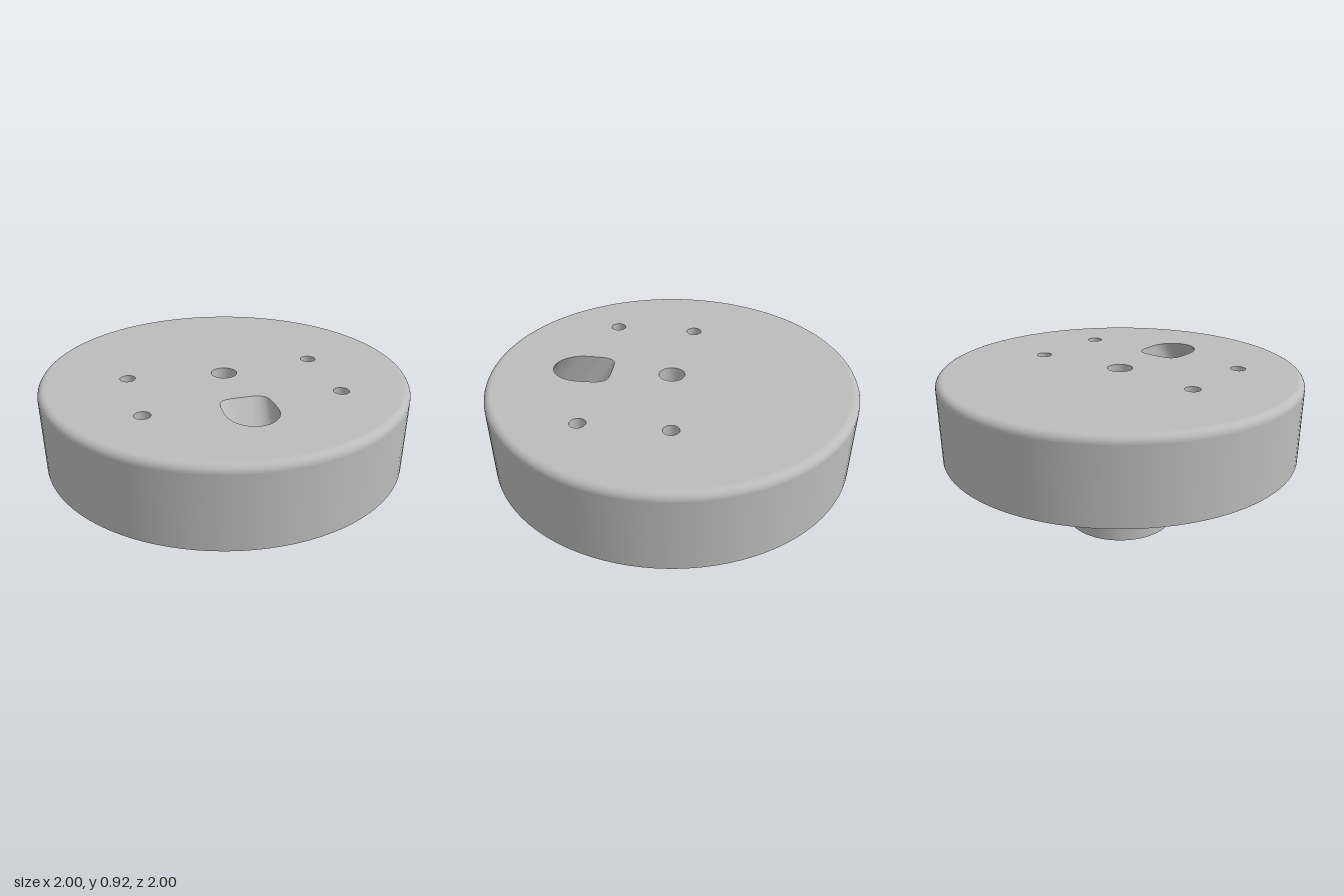
import * as THREE from 'three';
import { mergeGeometries } from 'three/addons/utils/BufferGeometryUtils.js';

const TOP = 0.92, CEILING = 0.665, RIM = 0.475, COLLAR = 0.61;
const BORE = 0.07;

const grey = new THREE.MeshStandardMaterial({ color: 0xbcbcbc, side: THREE.DoubleSide });
grey.name = 'plain grey';

// Points [x, z] of a circle
function circle(r, cx = 0, cz = 0, n = 32) {
  return Array.from({ length: n }, (_, i) => {
    const a = (i / n) * Math.PI * 2;
    return [cx + r * Math.cos(a), cz + r * Math.sin(a)];
  });
}

// Opening of the slanted channel: each end is round (power 1) or squarish (lower power)
function channelRing(zMid, front, back, frontPower, backPower, n = 48) {
  return Array.from({ length: n }, (_, i) => {
    const a = (i / n) * Math.PI * 2, c = Math.cos(a), s = Math.sin(a);
    const p = s >= 0 ? frontPower : backPower;
    const reach = s >= 0 ? front : back;
    return [0.135 * Math.sign(c) * Math.abs(c) ** p, zMid + reach * Math.sign(s) * Math.abs(s) ** p];
  });
}

// Flat horizontal face with holes, facing up or down
function face(y, outline, holes, up) {
  const toPoints = (ring) => ring.map(([x, z]) => new THREE.Vector2(x, up ? -z : z));
  const shape = new THREE.Shape(toPoints(outline));
  shape.holes = holes.map((h) => new THREE.Path(toPoints(h)));
  return new THREE.ShapeGeometry(shape).rotateX(up ? -Math.PI / 2 : Math.PI / 2).translate(0, y, 0);
}

// Inward-facing wall between a lower and an upper ring
function wall(lower, yLow, upper, yHigh) {
  const n = lower.length, pos = [], index = [];
  for (let i = 0; i <= n; i++) {
    const a = lower[i % n], b = upper[i % n];
    pos.push(a[0], yLow, a[1], b[0], yHigh, b[1]);
    if (i < n) {
      const k = i * 2;
      index.push(k, k + 2, k + 1, k + 1, k + 2, k + 3);
    }
  }
  const g = new THREE.BufferGeometry();
  g.setAttribute('position', new THREE.Float32BufferAttribute(pos, 3));
  g.setIndex(index);
  g.computeVertexNormals();
  return g;
}

// Several turned profiles, with sharp edges between them
function turned(...profiles) {
  return mergeGeometries(profiles.map((p) =>
    new THREE.LatheGeometry(p.map(([r, y]) => new THREE.Vector2(r, y)), 96)));
}

export function createModel() {
  const model = new THREE.Group();
  const add = (name, geometry) => {
    const mesh = new THREE.Mesh(geometry, grey);
    mesh.name = name;
    model.add(mesh);
  };

  const bore = circle(BORE);
  const channelTop = channelRing(0.5, 0.155, 0.17, 1, 0.45);
  const channelBottom = channelRing(0.66, 0.18, 0.155, 0.5, 1);
  const screwSpots = [[-0.52, -0.065], [0.52, -0.065], [-0.52, 0.395], [0.52, 0.395]];
  const screwRings = screwSpots.map(([x, z]) => circle(0.042, x, z));
  const pinRings = [[-0.105, 0.115], [0.105, -0.115]].map(([x, z]) => circle(0.038, x, z));

  // Drum: rounded upper edge, outer side, thin lip and recess wall
  const fillet = Array.from({ length: 9 }, (_, i) => {
    const a = (i / 8) * Math.PI / 2;
    return [0.96 + 0.04 * Math.cos(a), TOP - 0.04 + 0.04 * Math.sin(a)];
  });
  add('drumRim', turned(
    [[0.97, CEILING], [0.97, RIM]],
    [[0.97, RIM], [1, RIM]],
    [[1, RIM], [1, TOP - 0.04]],
    fillet,
  ));
  add('topFace', face(TOP, circle(0.96, 0, 0, 96), [bore, channelTop, ...screwRings], true));
  add('recessCeiling', face(CEILING, circle(0.97, 0, 0, 96), [circle(0.36, 0, 0, 96), channelBottom], false));

  // Collar and post below the drum
  add('collar', turned([[0.31, COLLAR], [0.36, COLLAR]], [[0.36, COLLAR], [0.36, CEILING]]));
  add('post', turned([[0.312, 0], [0.312, COLLAR]]));
  add('postEnd', face(0, circle(0.312, 0, 0, 96), [bore, ...pinRings], false));

  // Through holes
  add('centreBore', wall(bore, 0, bore, TOP));
  add('slantedChannel', wall(channelBottom, CEILING, channelTop, TOP));

  // Blind holes
  screwRings.forEach((ring) => {
    add('screwHole', wall(ring, TOP - 0.16, ring, TOP));
    add('screwHoleFloor', face(TOP - 0.16, ring, [], true));
  });
  pinRings.forEach((ring) => {
    add('pinHole', wall(ring, 0, ring, 0.3));
    add('pinHoleEnd', face(0.3, ring, [], false));
  });

  return model;
}
